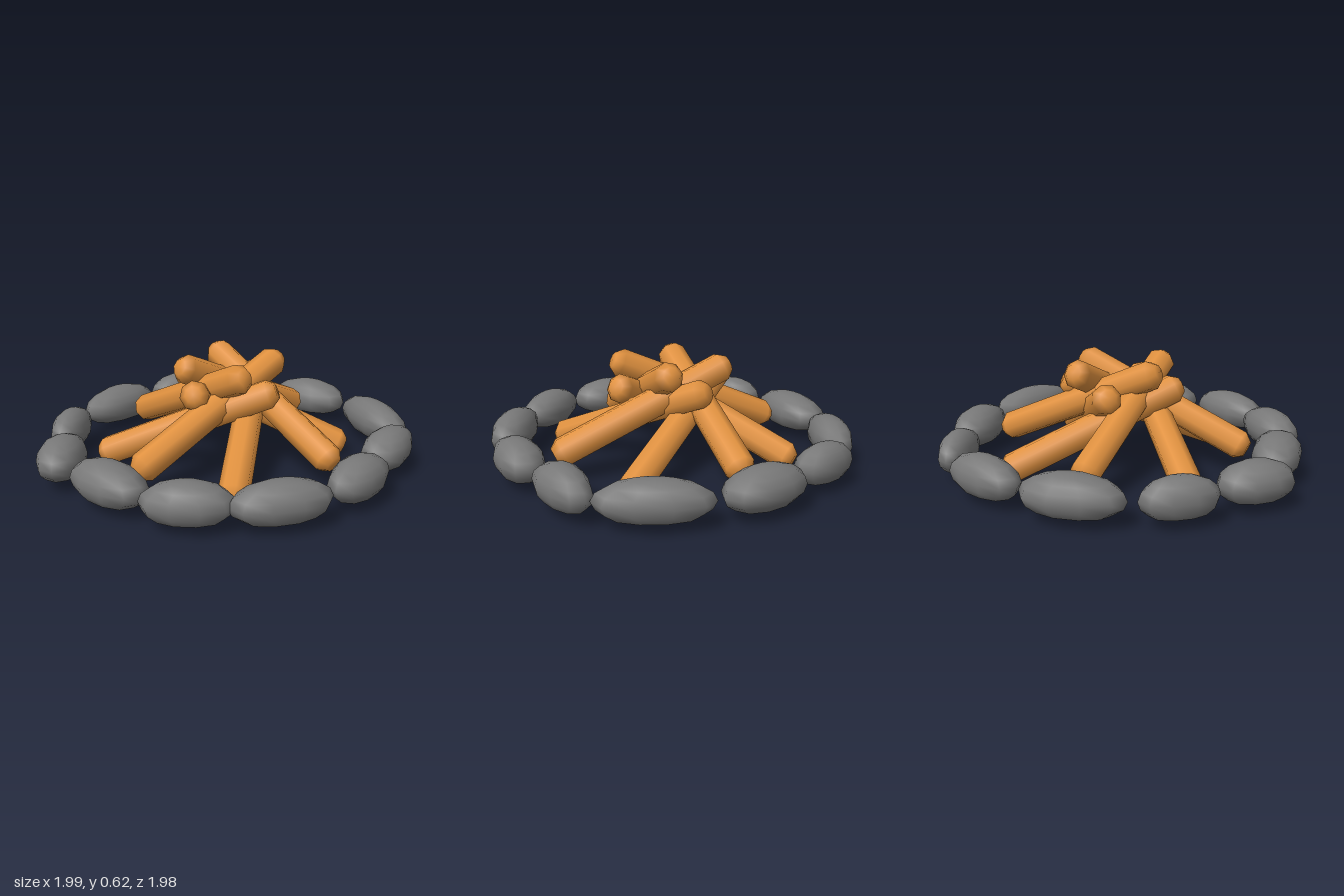
import * as THREE from 'three';

const wood = new THREE.MeshStandardMaterial({ color: 0xe0913f });
const rock = new THREE.MeshStandardMaterial({ color: 0x787878 });

// Log with bevelled ends, running from its outer foot to its raised tip
function makeLog(foot, tip) {
  const a = new THREE.Vector3(...foot), b = new THREE.Vector3(...tip);
  const dir = b.clone().sub(a), len = dir.length(), r = 0.08, bevel = 0.045;
  const profile = [
    [0, 0], [0.045, 0], [r, bevel], [r, len - bevel], [0.045, len], [0, len],
  ].map(([x, y]) => new THREE.Vector2(x, y));
  const log = new THREE.Mesh(new THREE.LatheGeometry(profile, 8), wood);
  log.position.copy(a);
  log.quaternion.setFromUnitVectors(new THREE.Vector3(0, 1, 0), dir.normalize());
  return log;
}

// Egg-shaped stone with a flat underside; ends a and b in plan, width, taper towards a
function makeStone(ax, az, bx, bz, width, taper) {
  const geo = new THREE.SphereGeometry(1, 10, 8);
  const p = geo.attributes.position;
  const half = Math.hypot(bx - ax, bz - az) / 2;
  const blunt = (v) => Math.sign(v) * Math.abs(v) ** 0.88;
  for (let i = 0; i < p.count; i++) {
    const x = p.getX(i);
    p.setXYZ(i,
      x * half,
      Math.max(p.getY(i) * 0.11, -0.08),
      blunt(p.getZ(i)) * (width / 2) * (1 + taper * x));
  }
  geo.computeVertexNormals();
  // Share normals across the sphere's seam and poles
  const n = geo.attributes.normal, sums = new Map();
  const key = (i) => [p.getX(i), p.getY(i), p.getZ(i)].map((v) => Math.round(v * 1e4)).join();
  for (let i = 0; i < p.count; i++) {
    const k = key(i);
    if (!sums.has(k)) sums.set(k, new THREE.Vector3());
    sums.get(k).add(new THREE.Vector3().fromBufferAttribute(n, i));
  }
  for (let i = 0; i < p.count; i++) {
    const v = sums.get(key(i)).clone().normalize();
    n.setXYZ(i, v.x, v.y, v.z);
  }
  const stone = new THREE.Mesh(geo, rock);
  stone.position.set((ax + bx) / 2, 0.15, (az + bz) / 2);
  stone.rotation.y = -Math.atan2(bz - az, bx - ax);
  return stone;
}

export function createModel() {
  const model = new THREE.Group();

  // Four upper and four lower logs, leaning across one another
  const logs = new THREE.Group();
  logs.name = 'logPile';
  const upper = [
    [0.01, 0.69, 0.18, -0.26], [0.69, -0.03, -0.25, -0.13],
    [-0.01, -0.68, -0.18, 0.26], [-0.71, 0.0, 0.27, 0.14],
  ];
  const lower = [
    [0.49, -0.49, -0.33, 0.04], [-0.51, -0.49, 0.0, 0.33],
    [-0.52, 0.46, 0.32, -0.05], [0.45, 0.48, -0.04, -0.34],
  ];
  upper.forEach(([x, z, tx, tz], i) => {
    const log = makeLog([x, 0.15, z], [tx, 0.57, tz]);
    log.name = `upperLog${i + 1}`;
    logs.add(log);
  });
  lower.forEach(([x, z, tx, tz], i) => {
    const log = makeLog([x, 0.065, z], [tx, 0.47, tz]);
    log.name = `lowerLog${i + 1}`;
    logs.add(log);
  });
  model.add(logs);

  // Ring of stones: end a (x, z), end b (x, z), width, taper
  const ring = new THREE.Group();
  ring.name = 'stoneRing';
  const stones = [
    [-0.3, -0.86, 0.23, -0.87, 0.26, 0.15],
    [0.24, -0.86, 0.67, -0.67, 0.22, 0],
    [0.73, -0.66, 0.79, -0.28, 0.19, 0.1],
    [0.84, -0.27, 0.88, 0.21, 0.26, 0],
    [0.88, 0.24, 0.61, 0.75, 0.23, 0.05],
    [0.18, 0.81, 0.62, 0.77, 0.23, -0.2],
    [-0.26, 0.87, 0.17, 0.86, 0.24, 0.05],
    [-0.71, 0.59, -0.29, 0.88, 0.23, 0],
    [-0.92, 0.23, -0.65, 0.6, 0.24, 0],
    [-0.87, -0.26, -0.87, 0.22, 0.26, 0],
    [-0.98, -0.32, -0.65, -0.57, 0.25, 0],
    [-0.68, -0.64, -0.34, -0.85, 0.2, 0],
  ];
  stones.forEach((s, i) => {
    const stone = makeStone(...s);
    stone.name = `stone${i + 1}`;
    ring.add(stone);
  });
  model.add(ring);

  return model;
}
